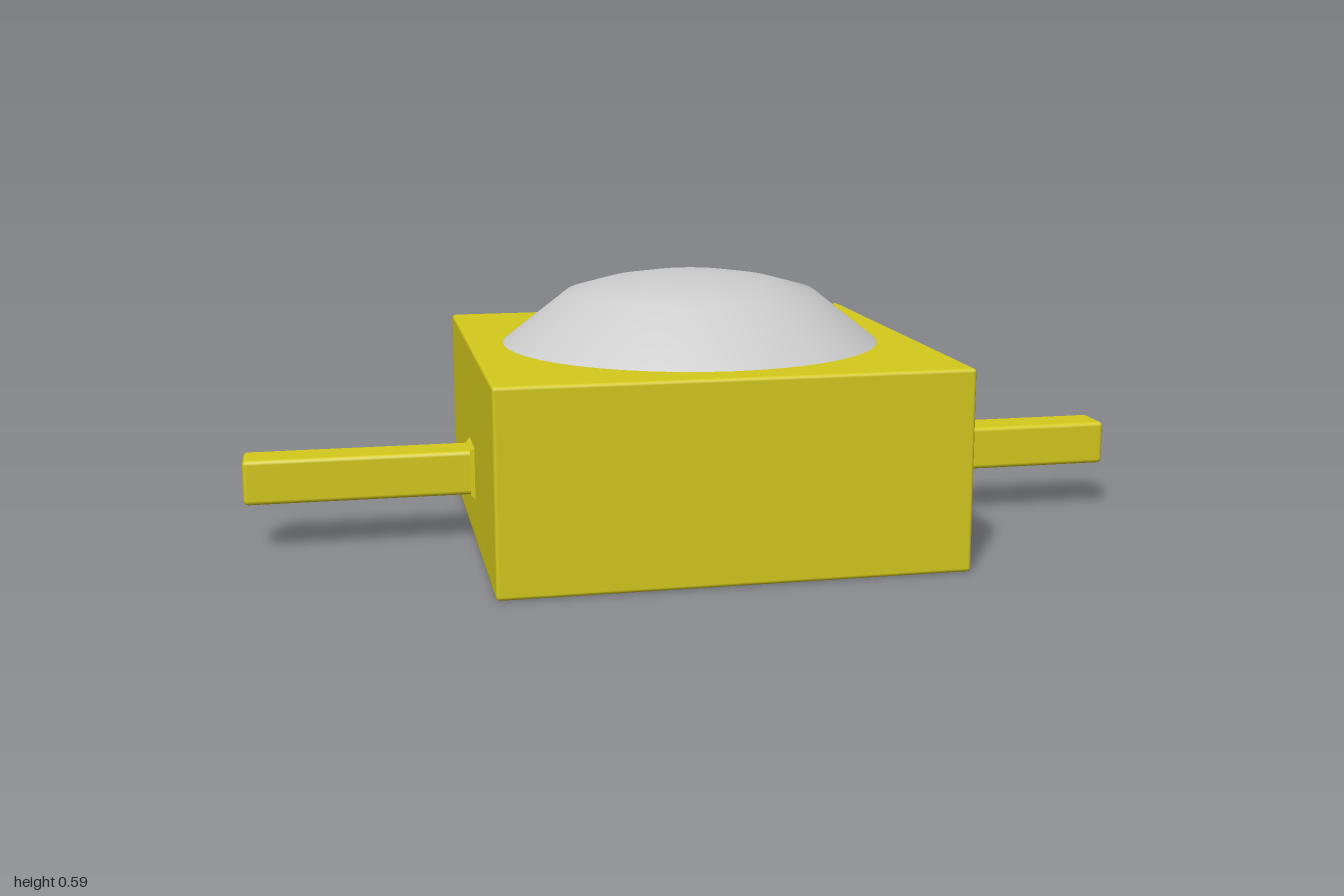
import * as THREE from 'three';
import { RoundedBoxGeometry } from 'three/addons/geometries/RoundedBoxGeometry.js';

export function createModel() {
  const group = new THREE.Group();
  const yellow = new THREE.MeshStandardMaterial({ color: 0xd4c91c });
  const grey = new THREE.MeshStandardMaterial({ color: 0xcccccc, side: THREE.DoubleSide });

  const add = (name, geometry, material, x, y, z) => {
    const mesh = new THREE.Mesh(geometry, material);
    mesh.name = name;
    mesh.position.set(x, y, z);
    group.add(mesh);
    return mesh;
  };

  // Square housing with finely softened edges
  const top = 0.435;
  add('housing', new RoundedBoxGeometry(1, top, 1, 2, 0.008), yellow, 0, top / 2, 0);

  // Shallow dome with a sloping rim and a gently curved cap
  const profile = [
    [0.43, 0.43], [0.28, 0.548], [0.19, 0.573], [0.1, 0.587], [0, 0.591],
  ].map(([r, y]) => new THREE.Vector2(r, y));
  add('dome', new THREE.LatheGeometry(profile, 48), grey, 0, 0, 0);

  // Square pin on each side, with a small flare where it meets the housing
  const pinY = 0.158;
  for (const [side, s] of [['left', 1], ['right', -1]]) {
    add(side + 'Pin', new RoundedBoxGeometry(0.52, 0.1, 0.1, 2, 0.01), yellow, s * 0.74, pinY, 0);

    const flare = new THREE.CylinderGeometry(0.05 * Math.SQRT2, 0.06 * Math.SQRT2, 0.01, 4, 1, true)
      .rotateY(Math.PI / 4)
      .rotateZ(-s * Math.PI / 2)
      .toNonIndexed();
    flare.computeVertexNormals();
    add(side + 'PinFlare', flare, yellow, s * 0.504, pinY, 0);
  }

  return group;
}
